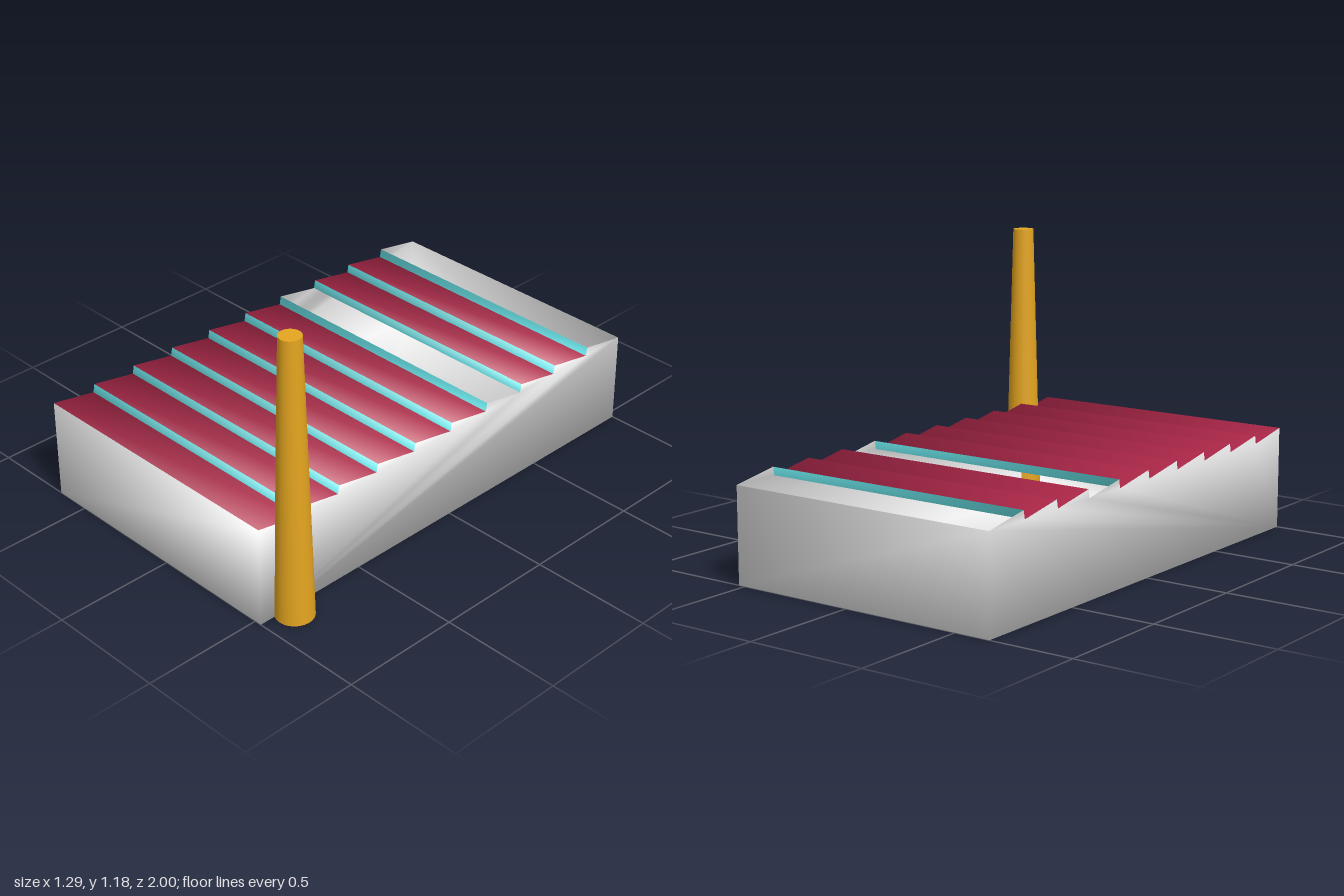
import * as THREE from 'three';

const LEFT = -0.65, RIGHT = 0.53;   // hall extent in x
const HIGH = 0.422, LOW = 0.387;    // crest and valley of each roof tooth
const BAYS = 10, PITCH = 0.2;
const OPEN_BAYS = [6, 9];           // bays without a roof panel

function material(name, color) {
  const m = new THREE.MeshStandardMaterial({ color, side: THREE.DoubleSide });
  m.name = name;
  return m;
}

// Sawtooth profile from the front wall to the back wall (x = z, y = y)
function sawtoothProfile() {
  const profile = [new THREE.Vector2(1, 0)];
  for (let i = 0; i < BAYS; i++) {
    const z = 1 - i * PITCH;
    const inset = i === BAYS - 1 ? 0 : 0.007;
    profile.push(new THREE.Vector2(z, HIGH), new THREE.Vector2(z - PITCH + inset, LOW));
  }
  profile.push(new THREE.Vector2(-1, 0));
  return profile;
}

// Soft normals shared by walls, roof and skylights: each profile point averages
// its adjoining strips and the side wall, weighted by corner angle
function softNormals(profile) {
  const n = profile.length;
  const openSegments = OPEN_BAYS.map((bay) => 1 + 2 * bay);
  const stripNormal = (i) => {
    if (openSegments.includes(i)) return new THREE.Vector2();
    const d = profile[(i + 1) % n].clone().sub(profile[i]).normalize();
    return new THREE.Vector2(d.y, -d.x);
  };
  return profile.map((p, i) => {
    const before = (i + n - 1) % n;
    const sum = stripNormal(before).add(stripNormal(i));
    const toPrev = profile[before].clone().sub(p).angle();
    const toNext = profile[(i + 1) % n].clone().sub(p).angle();
    const corner = (toPrev - toNext + 2 * Math.PI) % (2 * Math.PI);
    return new THREE.Vector3(corner / (Math.PI / 2), sum.y, sum.x).normalize();
  });
}

export function createModel() {
  const model = new THREE.Group();
  model.name = 'sawtoothFactory';
  const wallGrey = material('wall grey', 0xf2f2f2);
  const roofRed = material('roof red', 0xb4294c);
  const glassTeal = material('glass teal', 0x66dfe4);
  const chimneyGold = material('chimney gold', 0xe4a520);

  const profile = sawtoothProfile();
  const normals = softNormals(profile);
  const n = profile.length;

  // Geometry over the profile points at both ends of the hall
  const shell = (index) => {
    const position = [], normal = [];
    for (const [x, side] of [[LEFT, -1], [RIGHT, 1]]) {
      profile.forEach((p, i) => {
        position.push(x, p.y, p.x);
        normal.push(side * normals[i].x, normals[i].y, normals[i].z);
      });
    }
    const g = new THREE.BufferGeometry();
    g.setAttribute('position', new THREE.Float32BufferAttribute(position, 3));
    g.setAttribute('normal', new THREE.Float32BufferAttribute(normal, 3));
    g.setIndex(index);
    return g;
  };
  // Strip across the hall from profile point i to the next
  const strip = (i) => {
    const j = (i + 1) % n;
    return [i, n + i, n + j, i, n + j, j];
  };
  const add = (name, geometry, mat) => {
    const mesh = new THREE.Mesh(geometry, mat);
    mesh.name = name;
    model.add(mesh);
    return mesh;
  };

  // Side walls, front wall, back wall and floor, open at the top
  const walls = [0, n - 2, n - 1].flatMap(strip);
  for (const [a, b, c] of THREE.ShapeUtils.triangulateShape(profile, [])) {
    walls.push(a, b, c, n + a, n + c, n + b);
  }
  add('hallWalls', shell(walls), wallGrey);

  // Sloping roof panels and the window strips between them
  for (let i = 0; i < BAYS; i++) {
    if (!OPEN_BAYS.includes(i)) add('roofPanel', shell(strip(1 + 2 * i)), roofRed);
    if (i < BAYS - 1) add('skylight', shell(strip(2 + 2 * i)), glassTeal);
  }

  // Tapered chimney at the front corner
  const chimney = add('chimney', new THREE.CylinderGeometry(0.044, 0.077, 1.185, 24), chimneyGold);
  chimney.position.set(0.568, 1.185 / 2, 0.866);

  return model;
}
